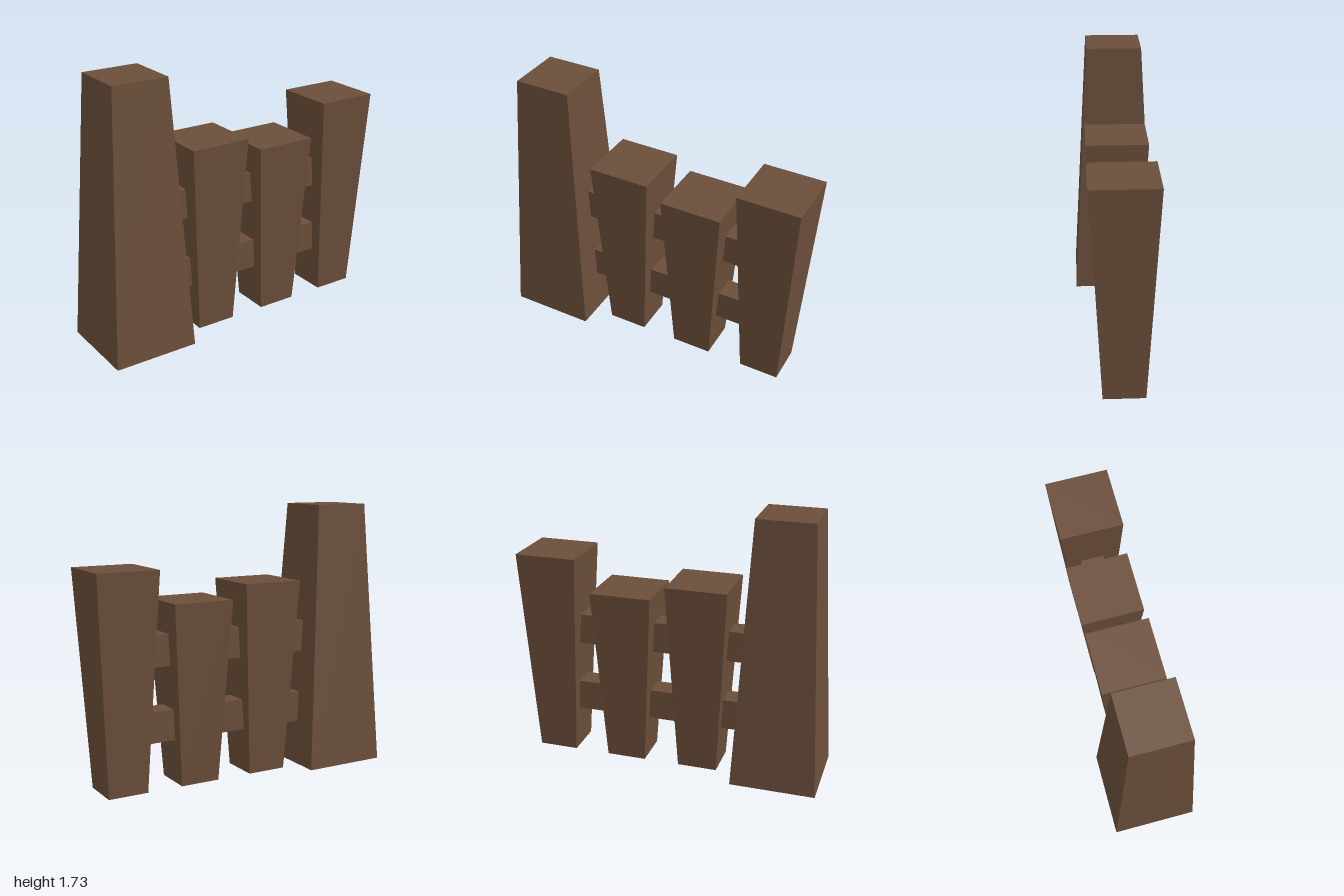
import * as THREE from 'three';

const wood = new THREE.MeshStandardMaterial({ color: 0x6b4e3a, side: THREE.DoubleSide });
wood.name = 'brownWood';

// Tapered square post standing on y = 0, open underneath.
// bottom and top are [xMin, xMax, halfDepth].
function taperedPost(name, height, bottom, top) {
  const geometry = new THREE.BoxGeometry(1, 1, 1);
  const pos = geometry.attributes.position;
  for (let i = 0; i < pos.count; i++) {
    const [x0, x1, depth] = pos.getY(i) > 0 ? top : bottom;
    pos.setXYZ(
      i,
      pos.getX(i) > 0 ? x1 : x0,
      pos.getY(i) > 0 ? height : 0,
      Math.sign(pos.getZ(i)) * depth
    );
  }
  // Leave out the underside (fourth face of the box)
  const index = Array.from(geometry.index.array);
  index.splice(18, 6);
  geometry.setIndex(index);
  geometry.clearGroups();
  const flat = geometry.toNonIndexed();
  flat.computeVertexNormals();
  const mesh = new THREE.Mesh(flat, wood);
  mesh.name = name;
  return mesh;
}

// Horizontal rail between two x positions
function rail(name, x0, x1, y) {
  const mesh = new THREE.Mesh(new THREE.BoxGeometry(x1 - x0, 0.2, 0.15), wood);
  mesh.position.set((x0 + x1) / 2, y, -0.003);
  mesh.name = name;
  return mesh;
}

export function createModel() {
  const fence = new THREE.Group();
  fence.name = 'fence';

  // Large corner post, wide at the foot
  fence.add(taperedPost('cornerPost', 1.73, [-1, -0.45, 0.275], [-0.905, -0.542, 0.182]));

  // Pickets, wide at the top
  fence.add(taperedPost('innerPicket', 1.255, [-0.322, -0.062, 0.13], [-0.392, 0.007, 0.2]));
  fence.add(taperedPost('middlePicket', 1.165, [0.172, 0.432, 0.13], [0.102, 0.502, 0.2]));
  fence.add(taperedPost('endPicket', 1.378, [0.666, 0.926, 0.13], [0.598, 0.998, 0.2]));

  // Rails joining the posts
  fence.add(rail('lowerRail', -0.6, 0.75, 0.39));
  fence.add(rail('upperRail', -0.6, 0.75, 0.868));

  return fence;
}
